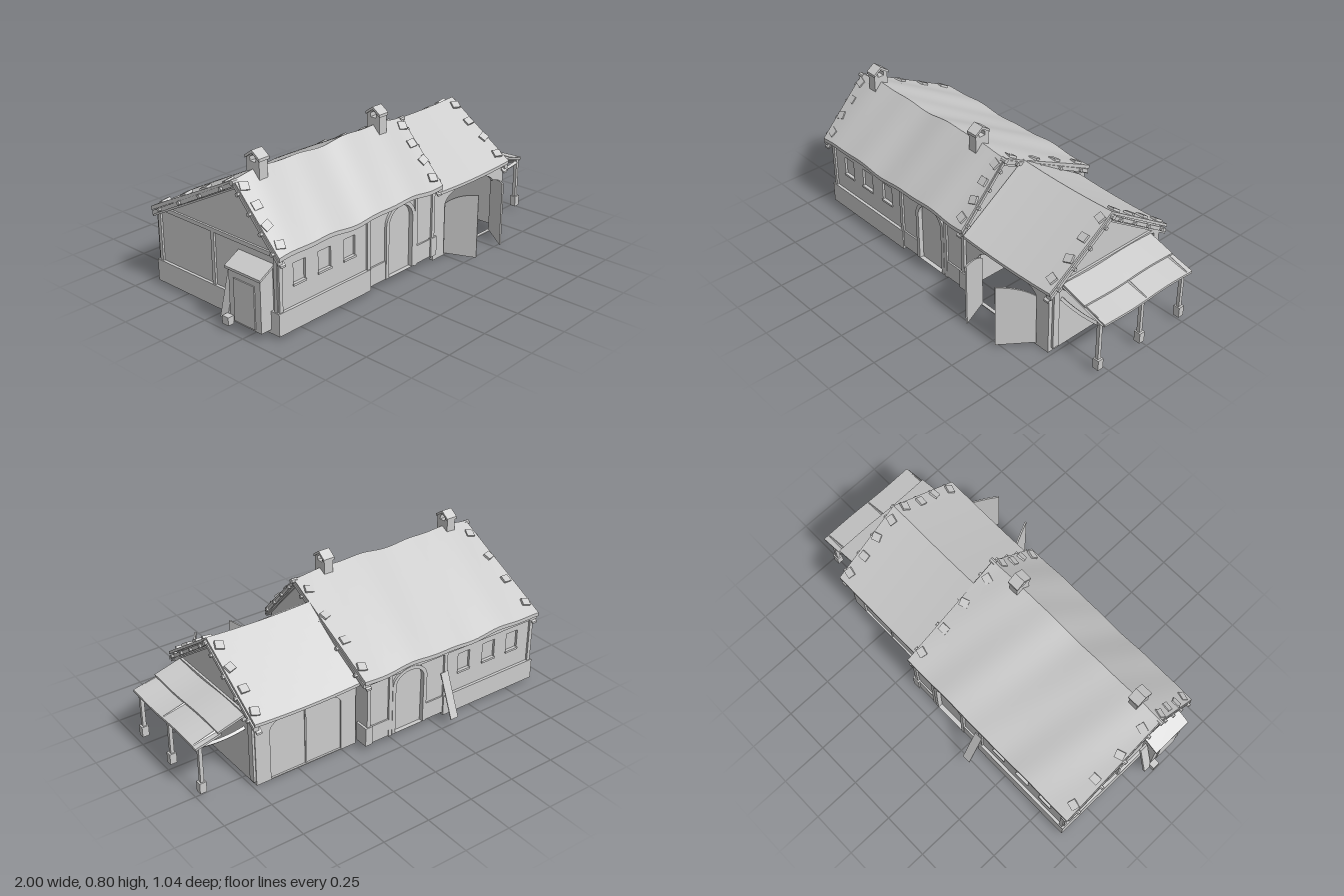
import * as THREE from 'three';
import { toCreasedNormals } from 'three/addons/utils/BufferGeometryUtils.js';

const grey = new THREE.MeshStandardMaterial({ color: 0xcccccc, side: THREE.DoubleSide });

export function createModel() {
  const root = new THREE.Group();
  const add = (name, geo, parent = root) => {
    const m = new THREE.Mesh(toCreasedNormals(geo, 0.5), grey);
    m.name = name;
    parent.add(m);
    return m;
  };
  // box given by its limits
  const box = (name, x0, x1, y0, y1, z0, z1, parent) => add(name,
    new THREE.BoxGeometry(x1 - x0, y1 - y0, z1 - z0)
      .translate((x0 + x1) / 2, (y0 + y1) / 2, (z0 + z1) / 2), parent);
  const poly = pts => new THREE.Shape(pts.map(p => new THREE.Vector2(p[0], p[1])));
  const extrude = (shape, depth) =>
    new THREE.ExtrudeGeometry(shape, { depth, bevelEnabled: false, curveSegments: 14 });
  const rect = (x0, x1, y0, y1) => poly([[x0, y0], [x1, y0], [x1, y1], [x0, y1]]);
  // opening with an elliptical arch
  const arch = (x0, x1, y0, spring, top) => {
    const s = new THREE.Shape();
    s.moveTo(x0, y0);
    s.lineTo(x1, y0);
    s.lineTo(x1, spring);
    s.absellipse((x0 + x1) / 2, spring, (x1 - x0) / 2, top - spring, 0, Math.PI, false);
    s.lineTo(x0, y0);
    return s;
  };
  // upright wall facing z, from z to z + depth
  const wall = (name, shape, holes, z, depth) => {
    shape.holes.push(...holes);
    return add(name, extrude(shape, depth).translate(0, 0, z));
  };
  // wall facing x, outlined by [z, y] points
  const gable = (name, x, pts, depth = 0.015) =>
    add(name, extrude(poly(pts.map(([z, y]) => [-z, y])), depth).rotateY(Math.PI / 2).translate(x, 0, 0));
  // sloped slab from back point a to front point b ([z, y] on its top), with a wave
  const flat = () => 0;
  const slab = (name, x0, x1, a, b, t, wave = flat, parent = root) => {
    const g = new THREE.BoxGeometry(1, 1, 1, wave === flat ? 1 : 32, 1, wave === flat ? 1 : 8);
    const p = g.attributes.position;
    for (let i = 0; i < p.count; i++) {
      const u = p.getZ(i) + 0.5, x = x0 + (x1 - x0) * (p.getX(i) + 0.5);
      const z = a[0] + (b[0] - a[0]) * u;
      p.setXYZ(i, x, a[1] + (b[1] - a[1]) * u + (p.getY(i) - 0.5) * t + wave(x, z), z);
    }
    return add(name, g, parent);
  };

  // roofs, with bargeboards, pegs and loose slates at the verges
  function roof(name, x0, x1, back, ridge, front, t, wave, verges) {
    slab(name + 'Back', x0, x1, back, ridge, t, wave);
    slab(name + 'Front', x0, x1, ridge, front, t, wave);
    for (const side of verges) {
      const xe = side < 0 ? x0 : x1;
      for (const [a, b] of [[back, ridge], [ridge, front]]) {
        const low = ([z, y]) => [z * 0.98 + ridge[0] * 0.02, y - t * 0.9];
        const dx = [xe - side * 0.025, xe + side * 0.004].sort((p, q) => p - q);
        slab('bargeboard', dx[0], dx[1], low(a), low(b), 0.022);
        slab('innerBargeboard', dx[0] - side * 0.012, dx[1] - side * 0.012,
          [a[0], a[1] - 0.045], [b[0], b[1] - 0.045], 0.01);
        for (let i = 0; i < 4; i++) {
          const u = 0.12 + i * 0.25;
          const z = a[0] + (b[0] - a[0]) * u, y = a[1] + (b[1] - a[1]) * u;
          add('peg', new THREE.CylinderGeometry(0.01, 0.01, 0.025, 6).rotateZ(Math.PI / 2))
            .position.set(xe + side * 0.003, y - t - 0.012, z);
          const slate = add('looseSlate', new THREE.BoxGeometry(0.045, 0.012, 0.04));
          slate.position.set(xe - side * (0.03 + 0.008 * (i % 2)), y + wave(xe, z) + 0.004, z);
          slate.rotation.set(-Math.atan2(b[1] - a[1], b[0] - a[0]), 0.3 * (i % 3 - 1), 0.12, 'XYZ');
        }
      }
    }
    // ridge end knobs
    for (const side of verges)
      add('ridgePeg', new THREE.CylinderGeometry(0.013, 0.013, 0.03, 8).rotateZ(Math.PI / 2))
        .position.set(side < 0 ? x0 : x1, ridge[1] - 0.02, ridge[0]);
  }
  roof('mainRoof', -0.92, 0.18, [-0.44, 0.405], [0.14, 0.705], [0.41, 0.415], 0.02,
    (x, z) => 0.006 * Math.sin(x * 11 + 3) + 0.004 * Math.sin(x * 23 + z * 6), [-1, 1]);
  roof('barnRoof', 0.17, 0.75, [-0.385, 0.365], [0.01, 0.625], [0.39, 0.362], 0.016,
    x => 0.11 * (x - 0.45) ** 2 - 0.004, [1]);

  // main house gables and walls
  const mainEnd = [[0.37, 0.03], [0.37, 0.425], [0.14, 0.675], [-0.42, 0.385], [-0.42, 0.03]];
  gable('leftGable', -0.89, mainEnd);
  gable('middleGable', 0.145, mainEnd);
  const wins = [[-0.8, -0.725], [-0.645, -0.565], [-0.48, -0.405]];
  for (const [s, z, top] of [[1, 0.37, 0.42], [-1, -0.42, 0.388]]) {
    const at = (d0, d1) => s > 0 ? [z + d0, z + d1] : [z - d1, z - d0];
    const archTop = Math.min(0.4, top - 0.005);
    const [w0] = at(-0.018, 0);
    wall('houseWall', rect(-0.89, 0.16, 0.03, top), [
      ...wins.map(([a, b]) => rect(a, b, 0.235, 0.335)),
      arch(-0.18, -0.01, 0.035, 0.3, archTop - 0.018)], w0, 0.018);
    for (const [a, b] of wins) {
      box('windowPane', a, b, 0.235, 0.335, ...at(-0.018, -0.012));
      box('windowSill', a - 0.003, b + 0.003, 0.225, 0.236, ...at(-0.005, 0.006));
    }
    // arched door and its surround
    wall('houseDoor', arch(-0.18, -0.01, 0.035, 0.3, archTop - 0.018), [], at(-0.018, -0.012)[0], 0.006);
    wall('doorSurround', arch(-0.2, 0.01, 0.035, 0.3, archTop),
      [arch(-0.18, -0.01, 0.036, 0.3, archTop - 0.018)], at(-0.005, 0.012)[0], 0.017);
    // plinths and posts
    box('plinth', -0.9, -0.31, 0.02, 0.13, ...at(-0.005, 0.015));
    box('plinth', -0.31, -0.2, 0.035, 0.13, ...at(-0.005, 0.008));
    box('plinth', 0.01, 0.13, 0.035, 0.13, ...at(-0.005, 0.008));
    box('cornerBlock', 0.13, 0.172, 0.035, 0.135, ...at(-0.06, 0.016));
    for (const x of [-0.895, -0.33, 0.01, 0.14])
      box('wallPost', x, x + 0.02, 0.03, top - 0.005, ...at(-0.01, 0.01));
    box('wallPlate', -0.89, 0.16, top - 0.018, top, ...at(-0.01, 0.01));
  }
  box('leftPlinth', -0.905, -0.88, 0.02, 0.13, -0.435, 0.385);
  for (const z of [-0.42, -0.05, 0.35]) box('leftPost', -0.9, -0.885, 0.03, 0.4, z, z + 0.02);
  box('leftTieBeam', -0.9, -0.885, 0.39, 0.41, -0.42, 0.37);

  // barn walls with arched wagon openings
  gable('barnGable', 0.715, [[0.37, 0], [0.37, 0.352], [0.01, 0.6], [-0.345, 0.37], [-0.345, 0]]);
  const opening = () => arch(0.25, 0.65, 0.005, 0.27, 0.345);
  wall('barnFrontWall', rect(0.165, 0.73, 0, 0.36), [opening()], 0.352, 0.018);
  wall('barnBackWall', rect(0.165, 0.73, 0, 0.365), [opening()], -0.345, 0.018);
  wall('barnBackDoor', opening(), [], -0.335, 0.006);
  box('doorSeam', 0.446, 0.454, 0.005, 0.34, -0.34, -0.327);
  for (const z of [0.315, -0.34]) box('barnPost', 0.725, 0.742, 0.02, 0.355, z, z + 0.035);
  box('barnTieBeam', 0.725, 0.742, 0.355, 0.375, -0.345, 0.37);

  // open wagon doors
  for (const [hx, tx, tz] of [[0.265, 0.33, 0.515], [0.645, 0.53, 0.515]]) {
    const dx = tx - hx, dz = tz - 0.36, w = Math.hypot(dx, dz);
    const s = poly([[0, 0.005], [w, 0.005], [w, 0.34]]);
    s.quadraticCurveTo(w * 0.4, 0.335, 0, 0.275);
    const leaf = add('wagonDoor', extrude(s, 0.008).translate(0, 0, -0.004));
    leaf.position.set(hx, 0, 0.36);
    leaf.rotation.y = Math.atan2(-dz, dx);
  }

  // bell-cote chimneys with a through opening
  for (const x of [-0.78, 0]) {
    const body = poly([[-0.18, 0.64], [-0.1, 0.64], [-0.1, 0.765], [-0.14, 0.79], [-0.18, 0.765]]);
    body.holes.push(poly([[-0.158, 0.745], [-0.122, 0.745], [-0.122, 0.765], [-0.14, 0.778], [-0.158, 0.765]]));
    add('chimney', extrude(body, 0.05).rotateY(Math.PI / 2).translate(x - 0.025, 0, 0));
    slab('chimneyCap', x - 0.031, x + 0.031, [0.095, 0.768], [0.14, 0.8], 0.014);
    slab('chimneyCap', x - 0.031, x + 0.031, [0.14, 0.8], [0.185, 0.768], 0.014);
  }

  // porch: local x runs along -z, local z along +x
  const porch = new THREE.Group();
  porch.name = 'porch';
  porch.rotation.y = Math.PI / 2;
  root.add(porch);
  const ripple = x => 0.004 * Math.sin(x * 14);
  slab('porchRoofUpper', -0.3, 0.28, [0.73, 0.37], [0.88, 0.328], 0.012, ripple, porch);
  slab('porchRoofLower', -0.295, 0.285, [0.865, 0.322], [1.0, 0.29], 0.012, ripple, porch);
  box('wallRail', 0.73, 0.75, 0.33, 0.35, -0.28, 0.29);
  const beam = (a, b, sag) => {
    const mid = [0, 1, 2].map(i => (a[i] + b[i]) / 2);
    mid[1] -= sag;
    const curve = new THREE.QuadraticBezierCurve3(new THREE.Vector3(...a), new THREE.Vector3(...mid), new THREE.Vector3(...b));
    add('porchBeam', new THREE.TubeGeometry(curve, 10, 0.011, 4));
  };
  const posts = [0.29, 0.018, -0.255];
  posts.forEach((z, i) => {
    box('porchPost', 0.957, 0.975, 0.07, 0.29, z - 0.009, z + 0.009);
    box('postFoot', 0.95, 0.985, 0.022, 0.078, z - 0.016, z + 0.016);
    beam([0.725, 0.275, z], [0.966, 0.272, z], 0.025);
    beam([0.725, 0.355, z], [0.99, 0.283, z], 0);
    if (i) beam([0.966, 0.278, posts[i - 1]], [0.966, 0.278, z], 0.04);
  });

  // lean-to shed on the left end
  add('shed', extrude(poly([[-0.965, 0.04], [-0.885, 0.04], [-0.885, 0.335], [-0.965, 0.295]]), 0.2).translate(0, 0, 0.135));
  add('shedRoof', extrude(poly([[-0.977, 0.295], [-0.885, 0.345], [-0.885, 0.357], [-0.977, 0.307]]), 0.225).translate(0, 0, 0.122));
  box('shedDoor', -0.971, -0.96, 0.05, 0.26, 0.17, 0.3);
  box('stoneBlock', -1, -0.967, 0.03, 0.07, 0.12, 0.16);
  const board = add('leaningBoard', new THREE.BoxGeometry(0.012, 0.25, 0.045));
  board.position.set(-0.94, 0.16, 0.105);
  board.rotation.z = -0.25;

  // plank leaning on the back wall
  const plank = add('leaningPlank', new THREE.BoxGeometry(0.045, 0.24, 0.005));
  plank.position.set(-0.31, 0.16, -0.475);
  plank.rotation.x = Math.atan2(0.09, 0.22);
  return root;
}
